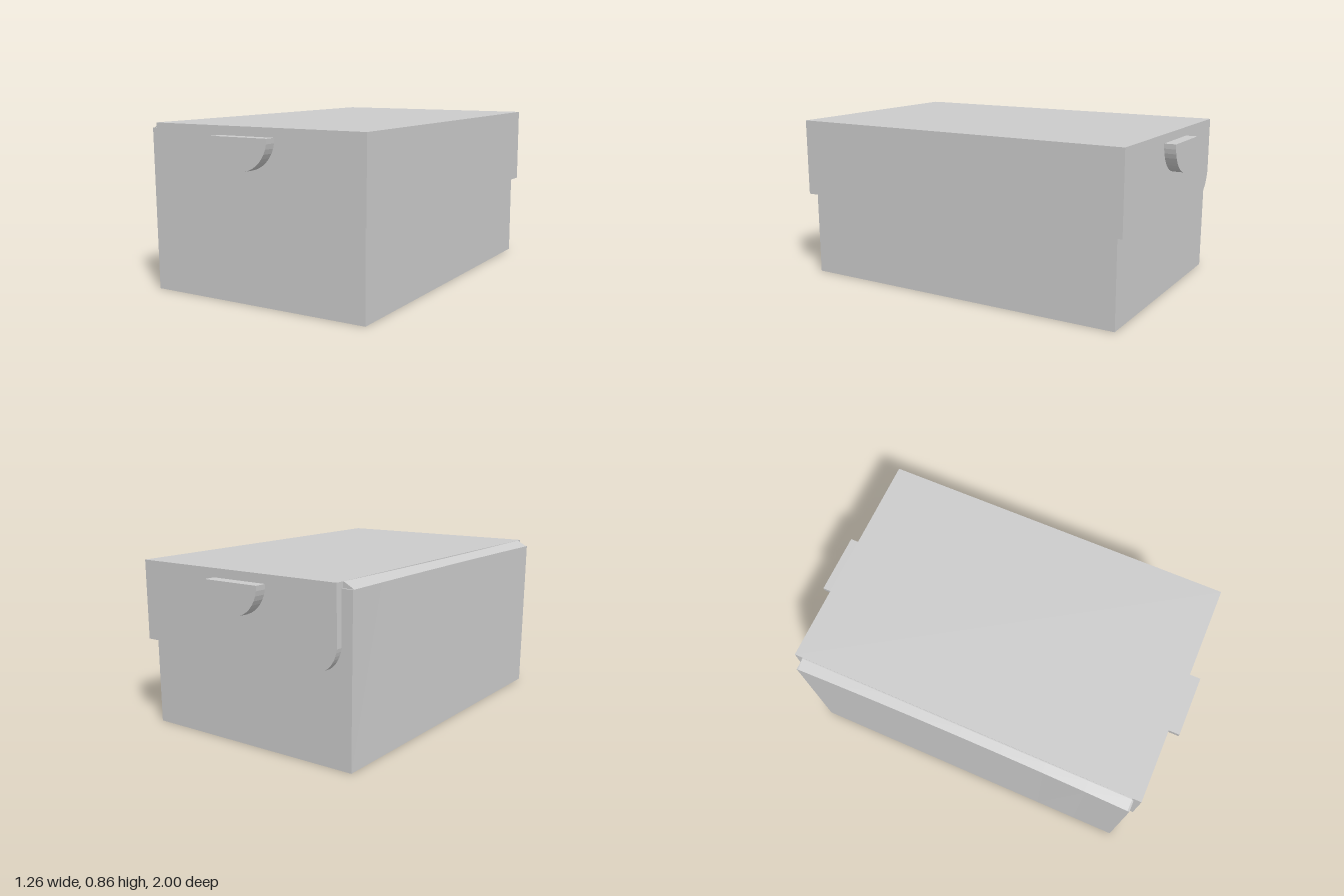
import * as THREE from 'three';

const material = new THREE.MeshStandardMaterial({ color: 0xcccccc, flatShading: true });

// Extrude a side profile along z, centred on zMid
function slab(name, shape, depth, zMid = 0, steps = 1) {
  const geo = new THREE.ExtrudeGeometry(shape, { depth, steps, bevelEnabled: false, curveSegments: 10 });
  geo.translate(0, 0, zMid - depth / 2);
  const mesh = new THREE.Mesh(geo, material);
  mesh.name = name;
  return mesh;
}

const polygon = (pts) => new THREE.Shape(pts.map(([x, y]) => new THREE.Vector2(x, y)));

// Bow the hinge side slightly inward, most at mid length and at the top
function bow(mesh) {
  const p = mesh.geometry.attributes.position;
  for (let i = 0; i < p.count; i++) {
    const x = p.getX(i), y = p.getY(i);
    if (x > -0.5) continue;
    const k = 1 - (p.getZ(i) / 0.9) ** 2;
    p.setX(i, x + (x < -0.6 ? 0.01 * k * (y / 0.83) : 0));
    if (y > 0.84) p.setY(i, y - 0.004 * k);
  }
  mesh.geometry.computeVertexNormals();
  return mesh;
}

export function createModel() {
  const group = new THREE.Group();

  // Lower box with a slightly leaning hinge wall
  group.add(bow(slab('boxBody', polygon([[-0.62, 0], [0.605, 0], [0.605, 0.83], [-0.63, 0.83]]), 1.81, 0, 8)));

  // Sloping hinge strip between the wall and the lid
  group.add(bow(slab('hingeFlap', polygon([[-0.63, 0.83], [-0.565, 0.83], [-0.565, 0.86], [-0.575, 0.86]]), 1.79, 0, 8)));

  // Lid with one rounded lower corner on its side panels
  const lid = new THREE.Shape();
  lid.moveTo(0.63, 0.45);
  lid.lineTo(0.63, 0.86);
  lid.lineTo(-0.57, 0.86);
  lid.lineTo(-0.57, 0.57);
  lid.bezierCurveTo(-0.56, 0.51, -0.52, 0.45, -0.45, 0.45);
  group.add(slab('lid', lid, 1.88));

  // Half-round tabs on both ends
  for (const side of [1, -1]) {
    const tab = new THREE.Shape();
    tab.absarc(-0.01, 0.815, 0.16, Math.PI, 2 * Math.PI, false);
    tab.closePath();
    group.add(slab(side > 0 ? 'frontTab' : 'backTab', tab, 0.07, side * 0.965));
  }
  return group;
}
